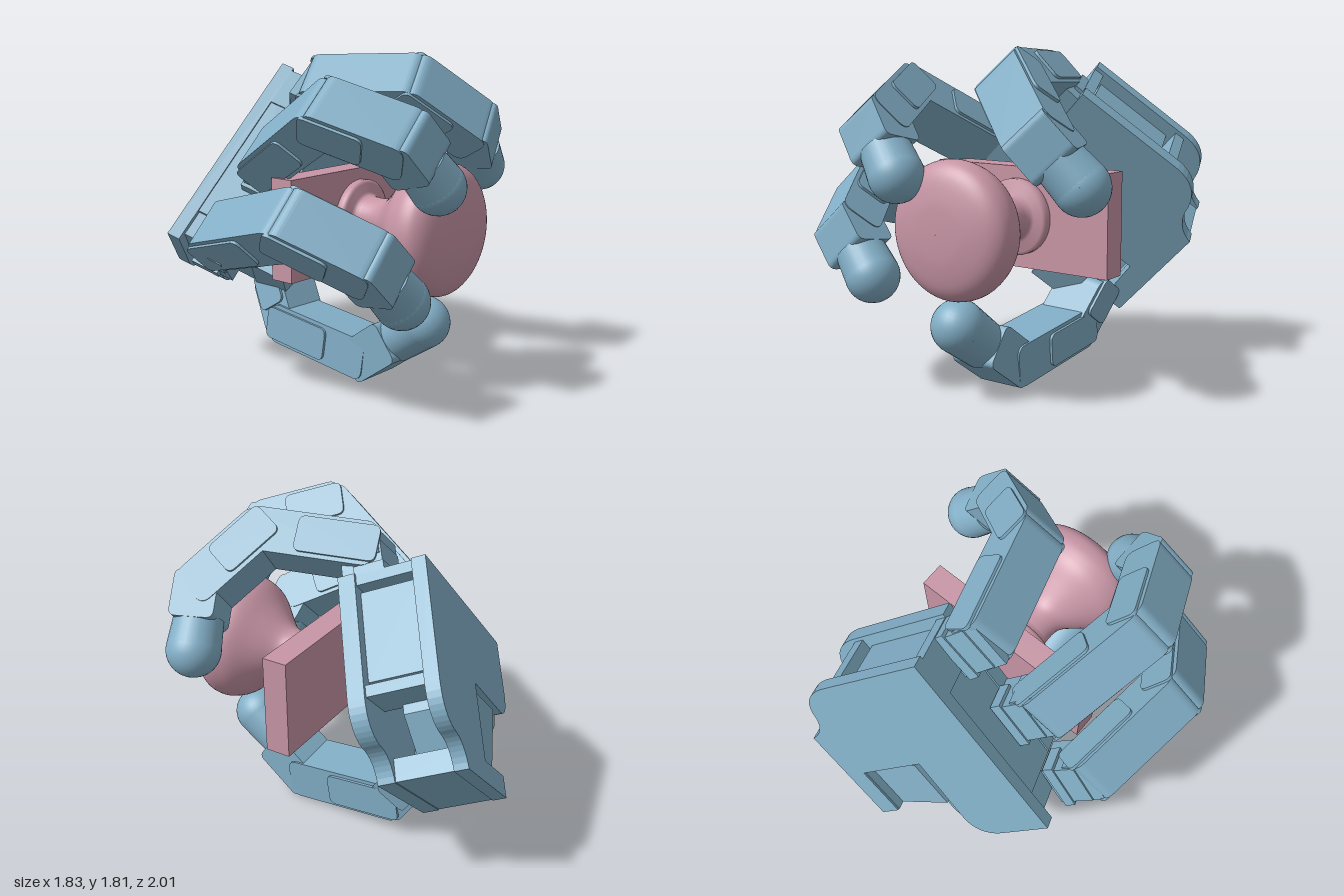
import * as THREE from 'three';

const V = (x, y, z) => new THREE.Vector3(x, y, z);
const V2 = (p) => new THREE.Vector2(p[0], p[1]);
const blue = new THREE.MeshStandardMaterial({ color: 0x82aec6 });
const pink = new THREE.MeshStandardMaterial({ color: 0xc896a6 });

function add(parent, name, geometry, material = blue, position = [0, 0, 0]) {
  const mesh = new THREE.Mesh(geometry, material);
  mesh.name = name;
  mesh.position.set(...position);
  parent.add(mesh);
  return mesh;
}

const box = (parent, name, size, position, material = blue) =>
  add(parent, name, new THREE.BoxGeometry(...size), material, position);

// Flat plate between two depths
function plate(parent, name, shape, z0, z1) {
  const geometry = new THREE.ExtrudeGeometry(shape, { depth: z1 - z0, bevelEnabled: false, curveSegments: 8 });
  return add(parent, name, geometry, blue, [0, 0, z0]);
}

// Rounded rectangle running from x0 to x1, centred on y = 0
function roundedRect(x0, x1, height, r) {
  const h = height / 2, s = new THREE.Shape();
  s.moveTo(x0 + r, -h);
  s.lineTo(x1 - r, -h);
  s.quadraticCurveTo(x1, -h, x1, -h + r);
  s.lineTo(x1, h - r);
  s.quadraticCurveTo(x1, h, x1 - r, h);
  s.lineTo(x0 + r, h);
  s.quadraticCurveTo(x0, h, x0, h - r);
  s.lineTo(x0, -h + r);
  s.quadraticCurveTo(x0, -h, x0 + r, -h);
  return s;
}

// Group at point a whose x axis runs to b and whose z axis is the hinge
function linkFrame(parent, name, a, b, hinge) {
  const d = b.clone().sub(a).normalize();
  const n = hinge.clone().cross(d).normalize();
  const w = d.clone().cross(n);
  const g = new THREE.Group();
  g.name = name;
  g.quaternion.setFromRotationMatrix(new THREE.Matrix4().makeBasis(d, n, w));
  g.position.copy(a);
  parent.add(g);
  return g;
}

// Housing with a thinner cover on each side
function link(parent, name, a, b, hinge) {
  const g = linkFrame(parent, name, a, b, hinge), len = a.distanceTo(b);
  plate(g, 'housing', roundedRect(-0.06, len + 0.05, 0.235, 0.06), -0.14, 0.14);
  for (const s of [-1, 1]) {
    plate(g, 'sideCover', roundedRect(-0.08, len * 0.62, 0.19, 0.04), s * 0.145 - 0.01, s * 0.145 + 0.01);
  }
}

// Last link: short block, round sleeve and ball tip
function fingertip(parent, a, b, hinge) {
  const g = linkFrame(parent, 'fingertip', a, b, hinge), len = a.distanceTo(b);
  plate(g, 'tipBlock', roundedRect(-0.07, len * 0.56, 0.24, 0.04), -0.135, 0.135);
  const sleeve = add(g, 'tipSleeve', new THREE.CylinderGeometry(0.143, 0.132, len * 0.52, 28), blue, [len * 0.74, 0, 0]);
  sleeve.rotation.z = -Math.PI / 2;
  add(g, 'ballTip', new THREE.SphereGeometry(0.143, 32, 20), blue, [len, 0, 0]);
}

// Finger whose last knuckle is found from the two link lengths
function finger(parent, name, mcp, pip, tip, medial, distal) {
  const g = new THREE.Group();
  g.name = name;
  parent.add(g);
  const p = pip.clone().sub(mcp), v = tip.clone().sub(pip), L = v.length();
  const hinge = p.clone().cross(v).normalize();
  const u = v.clone().normalize();
  const out = p.clone().addScaledVector(u, -p.dot(u)).normalize();
  const along = (medial * medial - distal * distal + L * L) / (2 * L);
  const dip = pip.clone().addScaledVector(u, along)
    .addScaledVector(out, Math.sqrt(Math.max(0, medial * medial - along * along)));
  link(g, 'proximalLink', mcp, pip, hinge);
  link(g, 'middleLink', pip, dip, hinge);
  fingertip(g, dip, tip, hinge);
}

// Scooped wrist corner shared by the two palm plates
function wristScoop(s) {
  s.lineTo(0.37, -1);
  s.quadraticCurveTo(0.4, -0.87, 0.54, -0.85);
  s.quadraticCurveTo(0.67, -0.81, 0.68, -0.66);
  s.lineTo(0.68, 0);
}

function buildPalm(parent) {
  // Local axes: x across the fingers, y along them, z out of the palm
  const palm = new THREE.Group();
  palm.name = 'palm';
  const t = THREE.MathUtils.degToRad(62);
  const across = V(0.706, 0.707, 0.035).normalize();
  const normal = V(0.707 * Math.cos(t), -0.707 * Math.cos(t), Math.sin(t));
  normal.addScaledVector(across, -normal.dot(across)).normalize();
  const up = normal.clone().cross(across);
  palm.quaternion.setFromRotationMatrix(new THREE.Matrix4().makeBasis(across, up, normal));
  palm.position.set(-0.14, 1.12, -0.222);
  parent.add(palm);

  // Back shell with a rounded corner, thumb notch and wrist scoop
  const back = new THREE.Shape();
  back.moveTo(0.68, 0);
  back.lineTo(-0.57, 0);
  back.lineTo(-0.57, -0.33);
  back.quadraticCurveTo(-0.56, -0.47, -0.42, -0.48);
  for (const p of [[0.05, -0.46], [0.05, -0.88], [-0.28, -0.88], [-0.28, -1]]) back.lineTo(...p);
  wristScoop(back);
  plate(palm, 'backShell', back, -0.345, -0.27);

  const core = new THREE.Shape();
  core.moveTo(0.46, -0.03);
  core.lineTo(-0.52, -0.03);
  core.lineTo(-0.53, -0.42);
  core.quadraticCurveTo(-0.52, -0.57, -0.38, -0.57);
  for (const p of [[0.05, -0.55], [0.05, -0.9], [0.3, -0.9], [0.46, -0.7]]) core.lineTo(...p);
  plate(palm, 'core', core, -0.28, -0.08);

  const front = new THREE.Shape();
  front.moveTo(0.68, 0);
  for (const p of [[-0.36, 0], [-0.45, -0.22], [-0.32, -0.44], [0, -0.46], [0, -0.86], [-0.28, -0.88], [-0.28, -1]]) {
    front.lineTo(...p);
  }
  wristScoop(front);
  plate(palm, 'palmPlate', front, 0.03, 0.12);

  // Wrist end, knuckle wall and the ribs of the open side
  box(palm, 'wristBlock', [0.64, 0.12, 0.44], [0.04, -0.935, -0.115]);
  box(palm, 'knuckleWall', [0.9, 0.08, 0.36], [0.08, -0.05, -0.1]);
  for (const y of [-0.03, -0.62]) box(palm, 'sideRib', [0.24, 0.06, 0.34], [0.54, y, -0.11]);
  box(palm, 'sideMotor', [0.18, 0.48, 0.3], [0.52, -0.32, -0.12]);

  // Thumb motor sitting aslant in the notch
  const motor = box(palm, 'thumbMotor', [0.32, 0.4, 0.32], [-0.12, -0.68, -0.15]);
  motor.rotation.x = -0.15;
  box(palm, 'thumbBase', [0.4, 0.26, 0.22], [-0.18, -0.57, 0.12]);

  // Knuckle mounts
  [-0.52, 0, 0.52].forEach((x, i) => {
    const mount = new THREE.Group();
    mount.name = 'knuckleMount';
    mount.position.set(x * 0.97, 0, 0);
    mount.rotation.z = (1 - i) * 0.087;
    palm.add(mount);
    box(mount, 'mountBlock', [0.26, 0.2, 0.22], [0, 0.08, 0]);
    box(mount, 'mountStep', [0.3, 0.06, 0.16], [0, 0.03, -0.04]);
    box(mount, 'knuckleBlock', [0.28, 0.14, 0.2], [0, 0.18, 0]);
  });
}

function buildKnob(parent) {
  const knob = new THREE.Group();
  knob.name = 'doorKnob';
  parent.add(knob);
  box(knob, 'backPlate', [1.11, 0.55, 0.14], [0.14, 0.905, 0.09], pink);
  // Collar with a rounded rim
  const collar = [[0, 0.15], [0.19, 0.15], [0.207, 0.165], [0.207, 0.2], [0.19, 0.215], [0.14, 0.22], [0.125, 0.235], [0.12, 0.26]];
  add(knob, 'collar', new THREE.LatheGeometry(collar.map(V2), 48).rotateX(Math.PI / 2), pink, [0.14, 0.91, 0]);
  // Neck flaring into the domed grip
  const grip = new THREE.SplineCurve([[0.12, 0.24], [0.118, 0.33], [0.14, 0.4], [0.222, 0.49], [0.312, 0.58],
    [0.348, 0.65], [0.358, 0.71], [0.34, 0.77], [0.28, 0.815], [0.17, 0.843], [0.08, 0.851], [0.0001, 0.853]].map(V2));
  add(knob, 'grip', new THREE.LatheGeometry(grip.getPoints(48), 56).rotateX(Math.PI / 2), pink, [0.14, 0.91, 0]);
}

export function createModel() {
  const model = new THREE.Group();
  model.name = 'robotHandOnKnob';
  const hand = new THREE.Group();
  hand.name = 'hand';
  model.add(hand);
  buildPalm(hand);
  buildKnob(model);

  finger(hand, 'upperFinger', V(0.13, 1.61, -0.12), V(0.28, 1.63, 0.42), V(0.775, 1.16, 0.535), 0.42, 0.32);
  finger(hand, 'middleFinger', V(-0.28, 1.25, -0.13), V(-0.45, 1.545, 0.42), V(-0.105, 1.185, 0.857), 0.42, 0.31);
  finger(hand, 'lowerFinger', V(-0.63, 0.88, -0.15), V(-0.72, 1.035, 0.43), V(-0.325, 0.64, 0.81), 0.42, 0.31);

  // Thumb
  const thumb = new THREE.Group();
  thumb.name = 'thumb';
  hand.add(thumb);
  const hinge = V(-1, 0.03, 0.03).normalize();
  const root = V(0.19, 0.4, -0.46), base = V(0.14, 0.2, -0.33), joint = V(0.125, 0.13, 0.27), tip = V(0.105, 0.4, 0.64);
  link(thumb, 'thumbRoot', root, base, hinge);
  link(thumb, 'thumbLink', base, joint, hinge);
  fingertip(thumb, joint, tip, hinge);
  return model;
}
